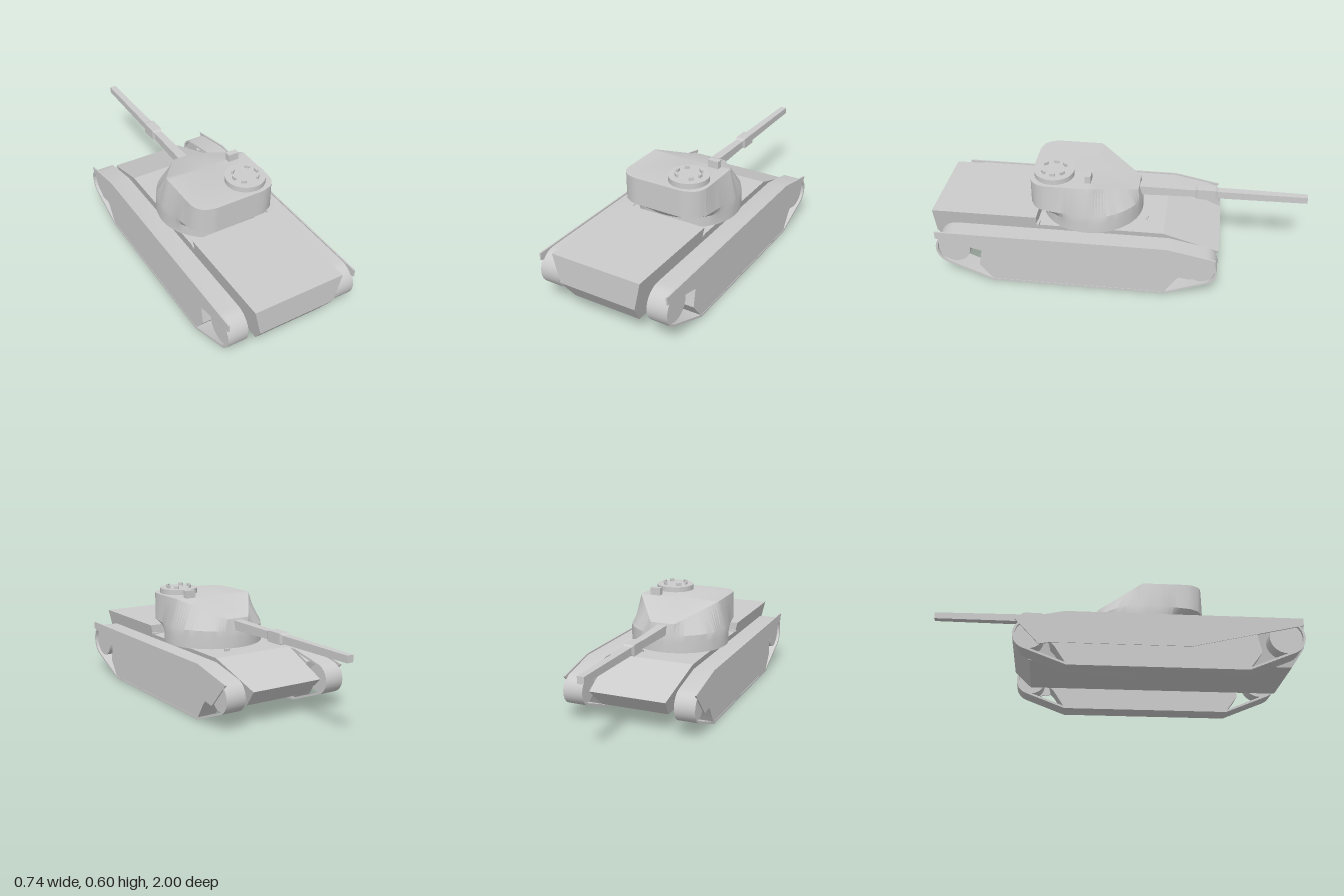
import * as THREE from 'three';
import { toCreasedNormals } from 'three/addons/utils/BufferGeometryUtils.js';

const material = new THREE.MeshStandardMaterial({ color: 0xcccccc, side: THREE.DoubleSide });

function add(parent, name, geometry, x = 0, y = 0, z = 0) {
  const mesh = new THREE.Mesh(geometry, material);
  mesh.name = name;
  mesh.position.set(x, y, z);
  parent.add(mesh);
  return mesh;
}

const vectors = (points) => points.map(([a, b]) => new THREE.Vector2(a, b));

// Extrudes a side profile given as (z, y) points across x, centred on x = 0
function sideExtrude(points, width, hole) {
  const shape = new THREE.Shape(vectors(points));
  if (hole) shape.holes.push(new THREE.Path(vectors(hole)));
  const g = new THREE.ExtrudeGeometry(shape, { depth: width, bevelEnabled: false });
  g.translate(0, 0, -width / 2);
  g.rotateY(-Math.PI / 2);
  return toCreasedNormals(g, 0.5);
}

// Hull: side profile whose width grows with height
function hullGeometry() {
  const g = sideExtrude([[1, 0.355], [1, 0.2], [0.93, 0.095], [-0.46, 0.095],
    [-0.55, 0.19], [-0.25, 0.302], [0.43, 0.302], [0.43, 0.355]], 2);
  const p = g.attributes.position;
  for (let i = 0; i < p.count; i++) p.setX(i, p.getX(i) * (0.19 + (p.getY(i) - 0.095) * 0.23));
  return toCreasedNormals(g, 0.3);
}

// Track belt outline around both end wheels, shrunk by an inset
const REAR = [0.865, 0.192, 0.098], FRONT = [-0.46, 0.165, 0.085];
function beltOutline(inset) {
  const points = [];
  const arc = ([cz, cy, r], from, to) => {
    for (let i = 0; i <= 12; i++) {
      const a = THREE.MathUtils.degToRad(from + (to - from) * i / 12);
      points.push([cz + Math.cos(a) * (r - inset), cy + Math.sin(a) * (r - inset)]);
    }
  };
  arc(REAR, 90, -68);
  points.push([0.66, inset], [-0.27, inset]);
  arc(FRONT, 250, 100);
  points.push([-0.28, 0.29 - inset]);
  return points;
}

function buildTrack(side) {
  const track = new THREE.Group();
  track.name = side > 0 ? 'leftTrack' : 'rightTrack';
  track.position.x = side * 0.311;
  add(track, 'belt', sideExtrude(beltOutline(0), 0.112, beltOutline(0.012)));
  add(track, 'sidePanel', sideExtrude([[0.66, 0.006], [0.73, 0.1], [0.71, 0.2], [0.7, 0.28],
    [-0.28, 0.28], [-0.38, 0.24], [-0.35, 0.12], [-0.33, 0.1], [-0.27, 0.006]], 0.108));
  add(track, 'skirt', sideExtrude([[0.96, 0.298], [0.96, 0.258], [0.37, 0.12], [-0.35, 0.12],
    [-0.41, 0.11], [-0.535, 0.245], [-0.28, 0.298]], 0.008), side * 0.053);
  for (const [cz, cy, r] of [REAR, FRONT]) {
    const wheel = new THREE.CylinderGeometry(r - 0.011, r - 0.011, 0.08, 32);
    wheel.rotateZ(Math.PI / 2);
    add(track, 'wheel', wheel, 0, cy, cz);
  }
  return track;
}

// Distance from (0, CZ) to a mirrored half outline of (x, z) points, at an angle from the front
const CZ = 0.155;
function reach(half, angle) {
  const dx = Math.abs(Math.sin(angle)), dz = -Math.cos(angle);
  for (let i = 0; i < half.length - 1; i++) {
    const [ax, az] = half[i], [bx, bz] = half[i + 1];
    const ex = bx - ax, ez = bz - az, det = dz * ex - dx * ez;
    if (Math.abs(det) < 1e-9) continue;
    const t = ((az - CZ) * ex - ax * ez) / det;
    const s = (dx * (az - CZ) - dz * ax) / det;
    if (t > 0 && s >= -1e-6 && s <= 1 + 1e-6) return t;
  }
  return 0.275;
}

// Turret: round base, bulged waist and a roof that slopes down at the front
function turretGeometry() {
  const waist = [[0, -0.12], [0.08, -0.108], [0.14, -0.082], [0.2, -0.034], [0.25, 0.04],
    [0.275, 0.155], [0.266, 0.23], [0.252, 0.31], [0.24, 0.39], [0.21, 0.44], [0.15, 0.47], [0, 0.47]];
  const roof = [[0, -0.1], [0.07, -0.1], [0.235, 0.135], [0.235, 0.38], [0.225, 0.42],
    [0.195, 0.455], [0.14, 0.47], [0, 0.47]];
  const layers = [
    [() => 0.275, () => 0.3],
    [() => 0.275, () => 0.36],
    [(a) => reach(waist, a), () => 0.4],
    [(a) => reach(roof, a), (z) => 0.55 - Math.max(0, 0.135 - z) * 0.38],
  ];
  const N = 96, positions = [], index = [];
  for (const [radius, height] of layers) {
    for (let i = 0; i < N; i++) {
      const a = i / N * Math.PI * 2, r = radius(a), z = CZ - Math.cos(a) * r;
      positions.push(Math.sin(a) * r, height(z), z);
    }
  }
  const top = positions.length / 3;
  positions.push(0, 0.55, CZ);
  for (let i = 0; i < N; i++) {
    const j = (i + 1) % N;
    for (let k = 0; k < layers.length - 1; k++) {
      const a = k * N + i, b = k * N + j;
      index.push(a, a + N, b, b, a + N, b + N);
    }
    const last = (layers.length - 1) * N;
    index.push(last + i, top, last + j);
  }
  const g = new THREE.BufferGeometry();
  g.setAttribute('position', new THREE.Float32BufferAttribute(positions, 3));
  g.setIndex(index);
  return toCreasedNormals(g, 0.45);
}

// Square-section gun piece running from z0 to z1
function gunPiece(z0, z1, w0, w1) {
  const g = new THREE.CylinderGeometry(w1 / Math.SQRT2, w0 / Math.SQRT2, z0 - z1, 4).toNonIndexed();
  g.rotateY(Math.PI / 4);
  g.rotateX(-Math.PI / 2);
  g.translate(0, 0.425, (z0 + z1) / 2);
  g.computeVertexNormals();
  return g;
}

export function createModel() {
  const model = new THREE.Group();
  model.name = 'tank';
  add(model, 'hull', hullGeometry());
  add(model, 'driverPeriscope', new THREE.BoxGeometry(0.03, 0.014, 0.012), 0.105, 0.307, -0.152);
  for (const side of [-1, 1]) {
    model.add(buildTrack(side));
    add(model, 'deckBracket', new THREE.BoxGeometry(0.04, 0.01, 0.015), side * 0.225, 0.306, 0.423);
  }

  // Turret and roof fittings
  const turret = new THREE.Group();
  turret.name = 'turret';
  model.add(turret);
  add(turret, 'turretShell', turretGeometry());
  add(turret, 'sight', new THREE.BoxGeometry(0.06, 0.042, 0.032), 0.15, 0.57, 0.157);
  add(turret, 'cupola', toCreasedNormals(new THREE.CylinderGeometry(0.106, 0.106, 0.03, 40), 0.5), 0.11, 0.564, 0.345);
  for (const degrees of [0, 50, 130, 180, 230, 310]) {
    const a = THREE.MathUtils.degToRad(degrees);
    const block = add(turret, 'cupolaPeriscope', new THREE.BoxGeometry(0.011, 0.018, 0.026),
      0.11 + Math.cos(a) * 0.066, 0.586, 0.345 - Math.sin(a) * 0.066);
    block.rotation.y = a;
  }

  // Gun: root, sleeve with tapered ends, and thin muzzle section
  const gun = new THREE.Group();
  gun.name = 'gun';
  turret.add(gun);
  for (const [name, ...dims] of [
    ['gunRoot', -0.05, -0.41, 0.054, 0.042],
    ['sleeveRear', -0.4, -0.415, 0.042, 0.058],
    ['sleeve', -0.415, -0.51, 0.058, 0.058],
    ['sleeveFront', -0.51, -0.525, 0.058, 0.042],
    ['barrel', -0.52, -1, 0.042, 0.036],
  ]) add(gun, name, gunPiece(...dims));
  return model;
}
